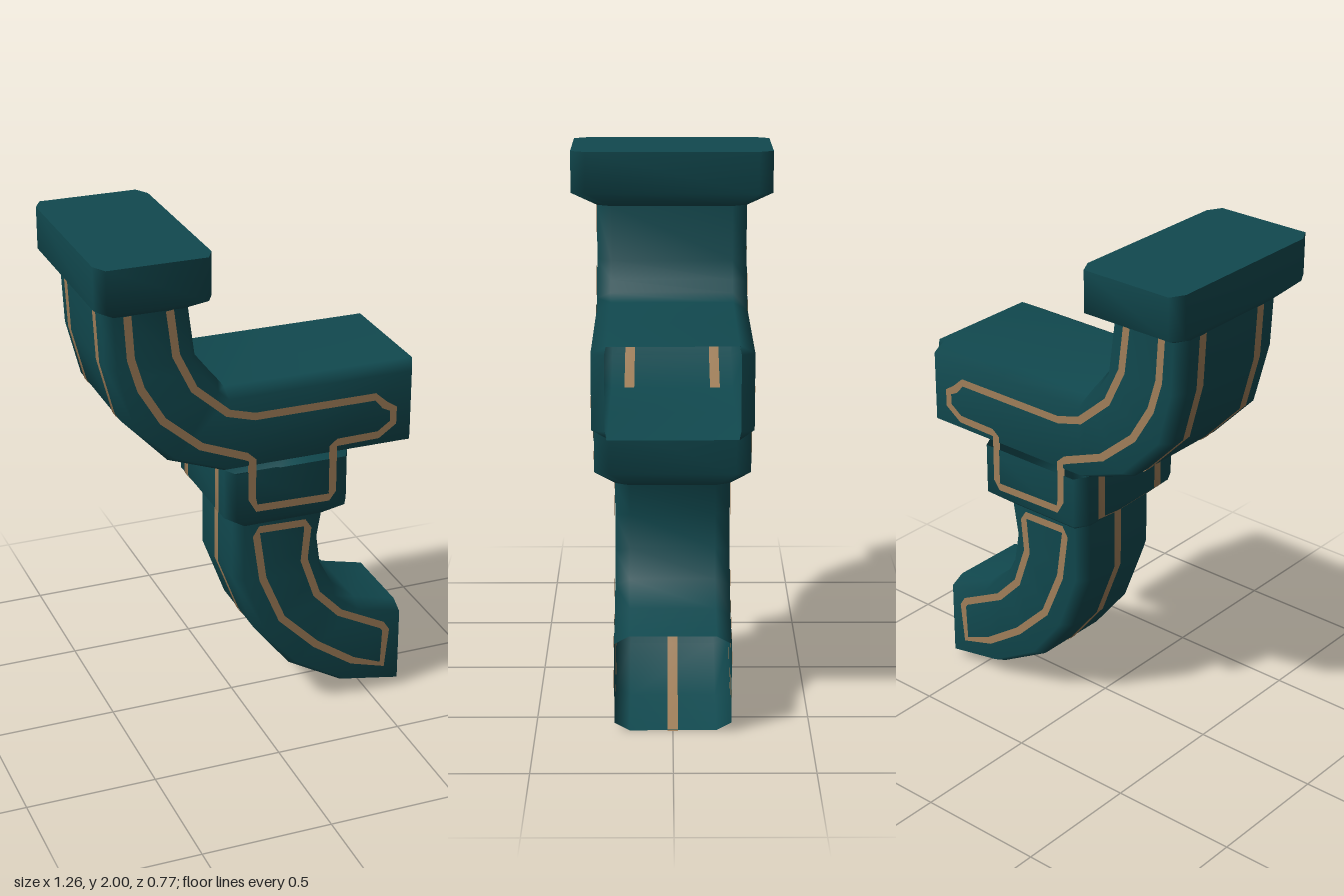
import * as THREE from 'three';

const teal = new THREE.MeshStandardMaterial({ color: 0x11494f, side: THREE.DoubleSide });
teal.name = 'darkTeal';
const tan = new THREE.MeshStandardMaterial({ color: 0xa07f5a, side: THREE.DoubleSide });
tan.name = 'tan';

// Builds an indexed surface from rows of points; closed joins each row into a ring.
function surface(rows, closed) {
  const n = rows[0].length, pos = rows.flat(2), idx = [];
  for (let i = 0; i < rows.length - 1; i++) {
    for (let j = 0; j < (closed ? n : n - 1); j++) {
      const a = i * n + j, b = i * n + (j + 1) % n;
      idx.push(a, b, b + n, a, b + n, a + n);
    }
  }
  const g = new THREE.BufferGeometry();
  g.setAttribute('position', new THREE.Float32BufferAttribute(pos, 3));
  g.setIndex(idx);
  g.computeVertexNormals();
  return g;
}

// Unit vector from the inner wall to the outer wall of a section [ox, oy, ix, iy, halfDepth].
function outward([ox, oy, ix, iy]) {
  const l = Math.hypot(ox - ix, oy - iy);
  return [(ox - ix) / l, (oy - iy) / l];
}

// Rectangular duct ring with chamfered corners.
function ring(s) {
  const [ox, oy, ix, iy, h, inset = 0.055] = s, [dx, dy] = outward(s), c = 0.03;
  const o = (k, z) => [ox - dx * k, oy - dy * k, z];
  const i = (k, z) => [ix + dx * k, iy + dy * k, z];
  const t = h - inset;
  return [o(0, t), o(c, h), i(c, h), i(0, t), i(0, -t), i(c, -h), o(c, -h), o(0, -t)];
}

// Flat mitred stripe in a plane of constant z.
function faceStripe(pts, z, closed, w = 0.015) {
  const n = pts.length;
  const rows = pts.map((p, k) => {
    const a = closed || k > 0 ? pts[(k + n - 1) % n] : p;
    const b = closed || k < n - 1 ? pts[(k + 1) % n] : p;
    const d = new THREE.Vector2(b[0] - a[0], b[1] - a[1]).normalize();
    return [[p[0] - d.y * w, p[1] + d.x * w, z], [p[0] + d.y * w, p[1] - d.x * w, z]];
  });
  if (closed) rows.push(rows[0]);
  return surface(rows, false);
}

// Stripe lying along the outer bend of a duct.
function bendStripe(sections, zs, lift, w = 0.019) {
  return surface(sections.map((s, k) => {
    const [dx, dy] = outward(s), x = s[0] + dx * lift, y = s[1] + dy * lift;
    return [[x, y, zs[k] - w], [x, y, zs[k] + w]];
  }), false);
}

export function createModel() {
  const model = new THREE.Group();
  const add = (name, geo, mat) => {
    const m = new THREE.Mesh(geo, mat);
    m.name = name;
    model.add(m);
  };

  // Sections: outer x, y, inner x, y, half depth
  const cap = [
    [-0.635, 2, -0.203, 2, 0.387],
    [-0.635, 1.84, -0.203, 1.84, 0.387],
    [-0.58, 1.785, -0.258, 1.785, 0.288],
  ];
  const upper = [
    [-0.58, 1.785, -0.258, 1.785, 0.288],
    [-0.57, 1.58, -0.232, 1.58, 0.288],
    [-0.515, 1.365, -0.18, 1.513, 0.288],
    [-0.34, 1.18, -0.145, 1.47, 0.288],
    [-0.12, 1.1, -0.12, 1.437, 0.288],
    [0.25, 1.1, 0.25, 1.437, 0.288],
    [0.605, 1.1, 0.605, 1.437, 0.288],
    [0.63, 1.1, 0.63, 1.437, 0.24, 0.006],
  ];
  const collar = [
    [-0.12, 1.1, 0.375, 1.1, 0.288],
    [-0.12, 0.9, 0.375, 0.9, 0.288],
    [-0.06, 0.84, 0.312, 0.84, 0.213],
  ];
  const lower = [
    [-0.06, 0.84, 0.312, 0.84, 0.213],
    [-0.06, 0.6, 0.288, 0.72, 0.213],
    [0.03, 0.36, 0.305, 0.595, 0.213],
    [0.18, 0.17, 0.36, 0.49, 0.213],
    [0.4, 0.045, 0.455, 0.41, 0.213],
    [0.63, 0.003, 0.63, 0.367, 0.213],
  ];
  const parts = { topCap: cap, upperDuct: upper, collar, lowerDuct: lower };
  for (const [name, secs] of Object.entries(parts)) add(name, surface(secs.map(ring), true), teal);

  // Closed lid of the top cap
  const lid = new THREE.ShapeGeometry(new THREE.Shape(
    ring(cap[0]).map(([x, , z]) => new THREE.Vector2(x, -z))));
  lid.rotateX(-Math.PI / 2).translate(0, 2, 0);
  add('capLid', lid, teal);

  // Outline stripes on the front and back, seen outside and inside the open ducts
  const upperLine = [
    [-0.5, 1.785], [-0.49, 1.62], [-0.455, 1.5], [-0.375, 1.365], [-0.23, 1.24], [-0.055, 1.17],
    [-0.03, 1.15], [-0.03, 0.99], [-0.012, 0.95], [0.28, 0.943], [0.293, 0.965], [0.293, 1.155],
    [0.31, 1.165], [0.475, 1.168], [0.535, 1.21], [0.535, 1.265], [0.5, 1.285], [0.46, 1.325],
    [-0.02, 1.325], [-0.125, 1.355], [-0.255, 1.47], [-0.322, 1.61], [-0.343, 1.785],
  ];
  const lowerLine = [
    [0.03, 0.815], [0.215, 0.81], [0.228, 0.785], [0.215, 0.65], [0.27, 0.49], [0.37, 0.385],
    [0.555, 0.29], [0.572, 0.265], [0.56, 0.11], [0.43, 0.155], [0.27, 0.265], [0.125, 0.41],
    [0.045, 0.6], [0.018, 0.79],
  ];
  for (const side of [1, -1]) {
    for (const lift of [0.003, -0.003]) {
      add('upperOutlineStripe', faceStripe(upperLine, side * (0.288 + lift), false), tan);
      add('lowerOutlineStripe', faceStripe(lowerLine, side * (0.213 + lift), true), tan);
      // Twin stripes on the outer bend, merging at the collar
      const z = side * 0.165;
      add('upperBendStripe', bendStripe(upper.slice(0, 5), [z, z, z, z, z], lift), tan);
      add('collarStripe', bendStripe(collar, [z, z, 0], lift), tan);
    }
  }
  // Single stripe down the lower bend
  for (const lift of [0.003, -0.003]) {
    add('lowerBendStripe', bendStripe(lower, lower.map(() => 0), lift), tan);
  }
  return model;
}
